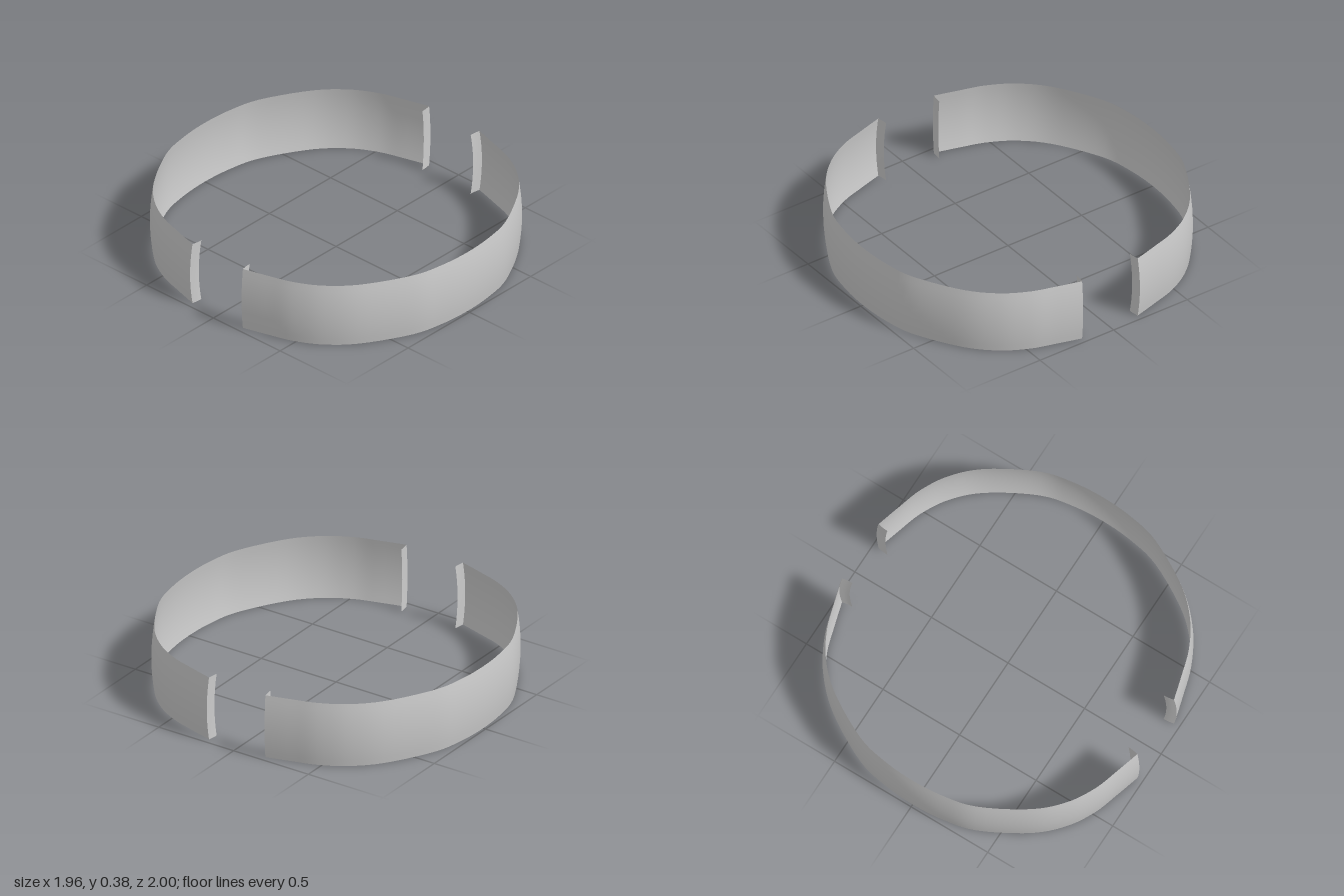
import * as THREE from 'three';

const HEIGHT = 0.385, BULGE = 0.016, ROWS = 10;
const material = new THREE.MeshStandardMaterial({ color: 0xcccccc, side: THREE.DoubleSide });

// Plan outline of one half band, mirrored from its +x half
const half = [[0.98, 0.193], [0.938, 0.34], [0.89, 0.49], [0.8, 0.645], [0.65, 0.79], [0.39, 0.937], [0.2, 0.985]];
const outline = new THREE.SplineCurve([
  ...half.map(([x, z]) => new THREE.Vector2(-x, z)),
  new THREE.Vector2(0, 1),
  ...half.map(([x, z]) => new THREE.Vector2(x, z)).reverse(),
]);

// Smooth grid surface from a rule point(u, v), with v running up the height
function surface(name, columns, point) {
  const positions = [], index = [];
  for (let i = 0; i <= columns; i++) {
    for (let j = 0; j <= ROWS; j++) positions.push(...point(i / columns, j / ROWS));
  }
  for (let i = 0; i < columns; i++) {
    for (let j = 0; j < ROWS; j++) {
      const a = i * (ROWS + 1) + j, b = a + ROWS + 1;
      index.push(a, b, b + 1, a, b + 1, a + 1);
    }
  }
  const geometry = new THREE.BufferGeometry();
  geometry.setAttribute('position', new THREE.Float32BufferAttribute(positions, 3));
  geometry.setIndex(index);
  geometry.computeVertexNormals();
  const mesh = new THREE.Mesh(geometry, material);
  mesh.name = name;
  return mesh;
}

// Outline point, drawn inward towards the top and bottom edges
function bandPoint(u, v) {
  const p = outline.getPoint(u), t = outline.getTangent(u);
  const inset = BULGE * (2 * v - 1) ** 2;
  return [p.x + t.y * inset, v * HEIGHT, p.y - t.x * inset];
}

function createHalfBand(name) {
  const group = new THREE.Group();
  group.name = name;
  group.add(surface('bandWall', 64, bandPoint));

  // Lips folded inward at both ends
  for (const side of [-1, 1]) {
    group.add(surface(side < 0 ? 'rightLip' : 'leftLip', 4, (u, v) => {
      const s = side < 0 ? 1 - u : u;
      const [x, y, z] = bandPoint(side < 0 ? 0 : 1, v);
      return [x - side * 0.063 * s, y, z - 0.008 * Math.sin(s * Math.PI / 2)];
    }));
  }
  return group;
}

export function createModel() {
  const model = new THREE.Group();
  model.name = 'splitRing';
  const front = createHalfBand('frontBand');
  const back = createHalfBand('backBand');
  back.rotation.y = Math.PI;
  model.add(front, back);
  return model;
}
